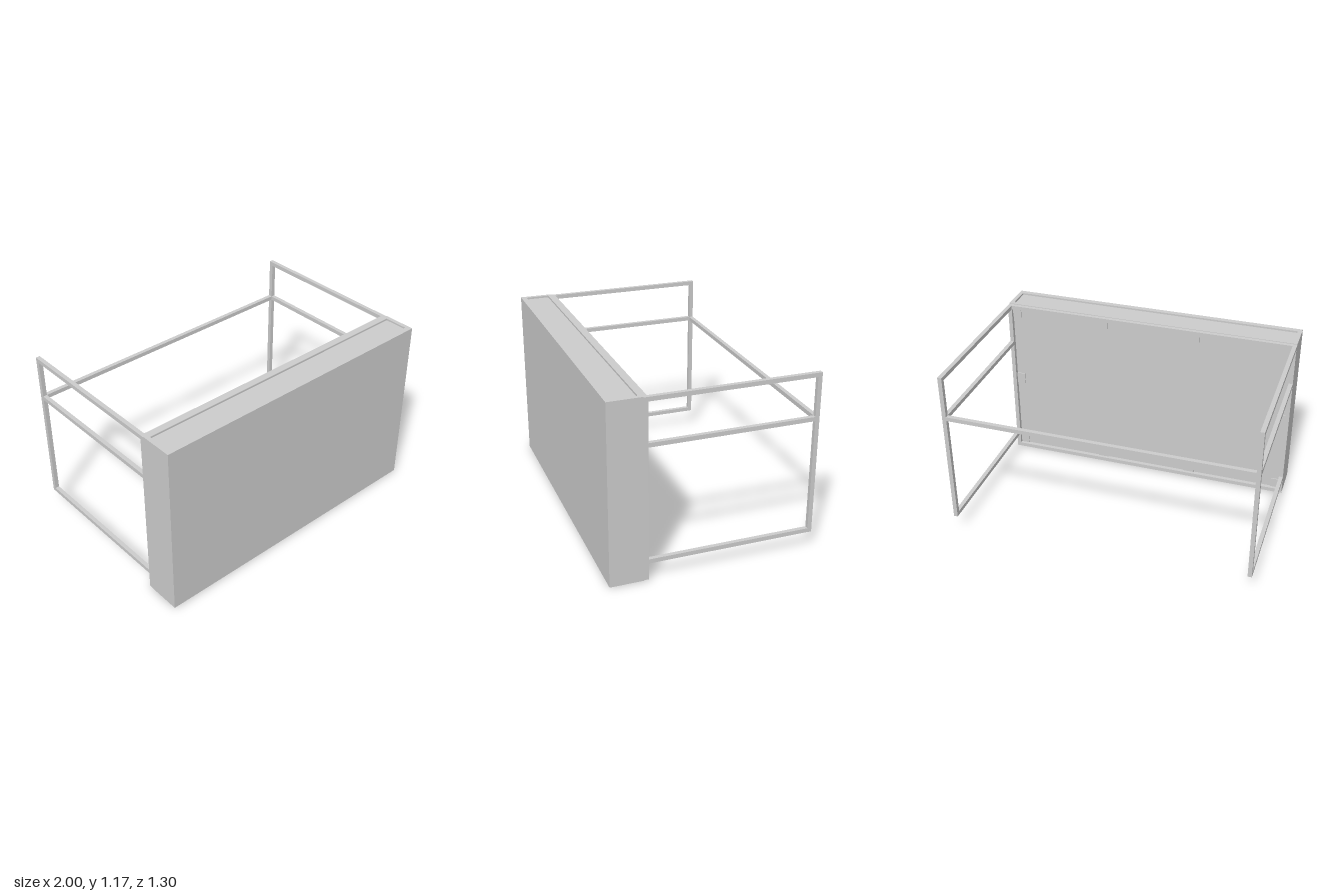
import * as THREE from 'three';

export function createModel() {
  const model = new THREE.Group();
  const material = new THREE.MeshStandardMaterial({ color: 0xcccccc });

  // Box given by its minimum and maximum on each axis
  function box(name, [x0, x1], [y0, y1], [z0, z1]) {
    const geometry = new THREE.BoxGeometry(x1 - x0, y1 - y0, z1 - z0);
    const mesh = new THREE.Mesh(geometry, material);
    mesh.position.set((x0 + x1) / 2, (y0 + y1) / 2, (z0 + z1) / 2);
    mesh.name = name;
    model.add(mesh);
  }
  const mirrored = (side, a, b) => (side > 0 ? [a, b] : [-b, -a]);

  const T = 0.027; // square tube thickness
  const IN = 1 - T;
  const TOP = 1.165;
  const BACK = -0.65;
  const FRAME = [0.408, 0.435];

  // Hollow front cabinet: a ring of walls with an open underside
  const ring = new THREE.Shape([[-1, -0.65], [1, -0.65], [1, -0.435], [-1, -0.435]].map((p) => new THREE.Vector2(...p)));
  ring.holes.push(new THREE.Path([[-IN, -0.615], [-IN, -0.46], [IN, -0.46], [IN, -0.615]].map((p) => new THREE.Vector2(...p))));
  const shell = new THREE.Mesh(
    new THREE.ExtrudeGeometry(ring, { depth: 1.165, bevelEnabled: false }),
    material
  );
  shell.rotation.x = -Math.PI / 2;
  shell.position.y = 0.004;
  shell.name = 'cabinetShell';
  model.add(shell);

  // Slightly sunken top and the block inside the base
  box('cabinetTop', [-IN, IN], [1.13, 1.157], [0.46, 0.615]);
  box('baseBlock', [-0.42, 0.42], [0, 0.3], [0.465, 0.612]);

  // Tube frame around the cabinet's back
  for (const side of [1, -1]) {
    box('backFrameUpright', mirrored(side, IN, 1), [0.007, TOP], FRAME);
  }
  box('backFrameTopRail', [-IN, IN], [TOP - T, TOP], FRAME);
  box('backFrameBottomRail', [-IN, IN], [0.007, 0.007 + T], FRAME);

  // Thin fixing tabs along the inside of the back frame
  const tabZ = [0.428, 0.436];
  for (const side of [1, -1]) {
    for (const [a, b] of [[0.28, 0.36], [0.915, IN]]) {
      box('fixingTab', mirrored(side, a, b), [0.034, 0.1], tabZ);
      box('fixingTab', mirrored(side, a, b), [1.075, TOP - T], tabZ);
    }
    box('fixingTab', mirrored(side, 0.915, IN), [0.545, 0.625], tabZ);
  }

  // Side frames reaching to the rear
  const RAILS = [0.115, 0.862, TOP - T];
  for (const side of [1, -1]) {
    const x = mirrored(side, IN, 1);
    for (const y of RAILS) box('sideRail', x, [y, y + T], [BACK + T, FRAME[0]]);
    box('rearPost', x, [RAILS[0], TOP], [BACK, BACK + T]);
  }

  // Crossbar joining the rear posts
  box('rearCrossbar', [-IN, IN], [RAILS[1], RAILS[1] + T], [BACK, BACK + T]);

  return model;
}
